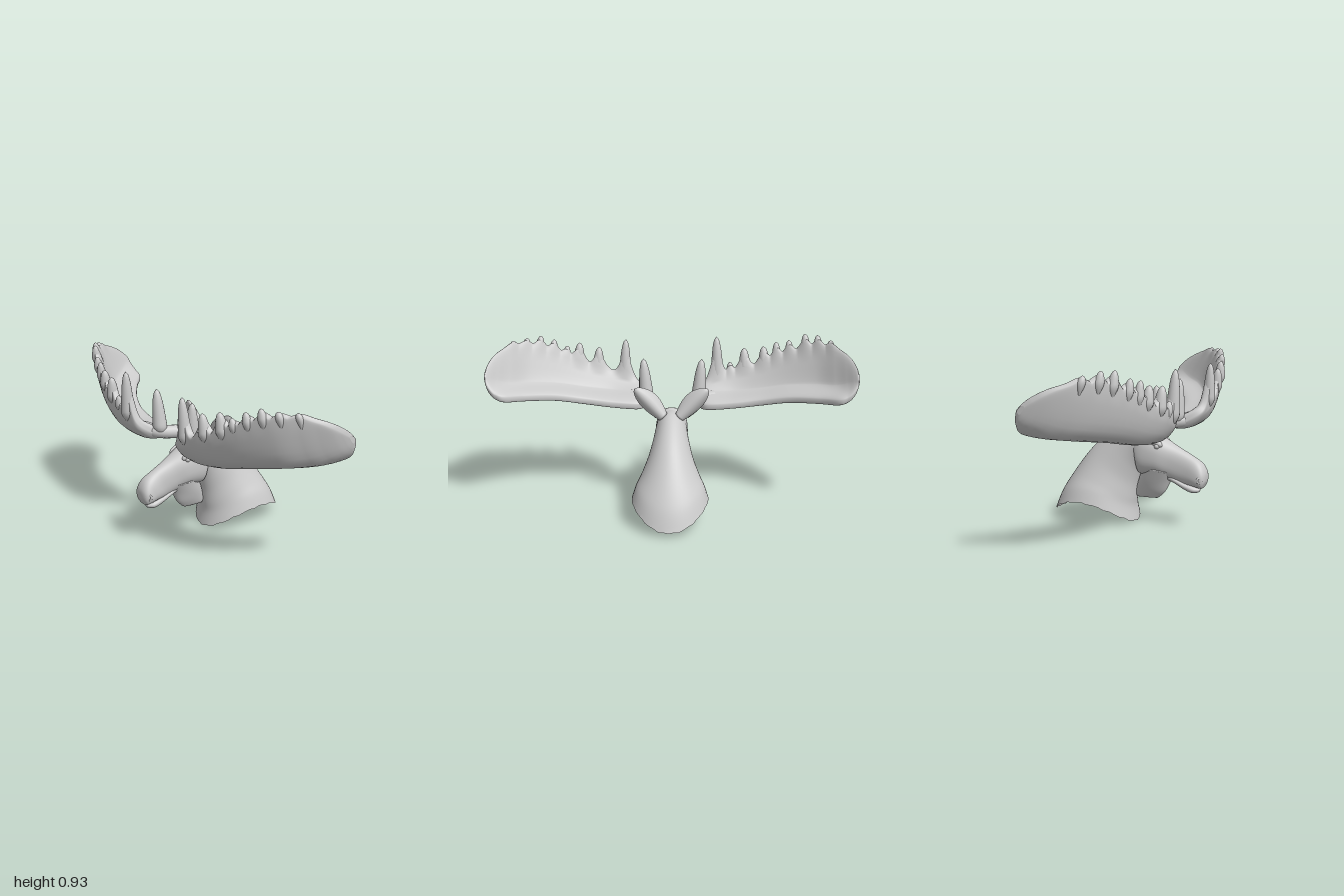
import * as THREE from 'three';

const V = (x, y, z) => new THREE.Vector3(x, y, z);
const { smoothstep, clamp } = THREE.MathUtils;
const material = new THREE.MeshStandardMaterial({ color: 0xcccccc });
const openMaterial = new THREE.MeshStandardMaterial({ color: 0xcccccc, side: THREE.DoubleSide });
const signedPow = (v, e) => Math.sign(v) * Math.abs(v) ** e;

// Smoothly interpolate a table of rows (Catmull-Rom on every column)
function rowAt(rows, t) {
  const f = t * (rows.length - 1);
  const i = Math.min(Math.floor(f), rows.length - 2);
  const u = f - i;
  const pick = k => rows[clamp(k, 0, rows.length - 1)];
  const [a, b, c, d] = [pick(i - 1), pick(i), pick(i + 1), pick(i + 2)];
  return b.map((_, k) => 0.5 * (2 * b[k] + (c[k] - a[k]) * u
    + (2 * a[k] - 5 * b[k] + 4 * c[k] - d[k]) * u * u
    + (3 * b[k] - a[k] - 3 * c[k] + d[k]) * u * u * u));
}

// Skin a list of closed rings, optionally leaving the start open
function skin(rings, capStart = true) {
  const n = rings[0].length;
  const points = rings.flat();
  const index = [];
  for (let j = 0; j < rings.length - 1; j++) {
    for (let i = 0; i < n; i++) {
      const a = j * n + i, b = j * n + (i + 1) % n;
      index.push(a, b, a + n, b, b + n, a + n);
    }
  }
  const cap = (j, flip) => {
    const centre = rings[j].reduce((s, p) => s.add(p), V(0, 0, 0)).divideScalar(n);
    const c = points.push(centre) - 1;
    for (let i = 0; i < n; i++) {
      const a = j * n + i, b = j * n + (i + 1) % n;
      index.push(c, flip ? b : a, flip ? a : b);
    }
  };
  if (capStart) cap(0, true);
  cap(rings.length - 1, false);
  // Turn the faces outwards when the enclosed volume comes out negative
  let volume = 0;
  for (let i = 0; i < index.length; i += 3) {
    volume += points[index[i]].dot(points[index[i + 1]].clone().cross(points[index[i + 2]]));
  }
  if (volume < 0) index.reverse();
  const g = new THREE.BufferGeometry().setFromPoints(points);
  g.setIndex(index);
  g.computeVertexNormals();
  return g;
}

function add(parent, name, geometry, mat = material) {
  const mesh = new THREE.Mesh(geometry, mat);
  mesh.name = name;
  parent.add(mesh);
  return mesh;
}

// Symmetric body; rows: zA, yA, zB, yB (two midline points), half width, side lift
function body(rows, steps, power, capStart = true, ragged = 0) {
  const rings = [];
  for (let j = 0; j <= steps; j++) {
    const [zA, yA, zB, yB, w, lift] = rowAt(rows, j / steps);
    const ring = [];
    for (let i = 0; i < 48; i++) {
      const a = i / 48 * Math.PI * 2;
      const c = signedPow(Math.cos(a), power), s = signedPow(Math.sin(a), power);
      const jag = j === 0 ? ragged * Math.sin(i * 2.3) : 0;
      ring.push(V(w * s, (yA + yB) / 2 + (yA - yB) / 2 * c + lift * s * s + jag,
        (zA + zB) / 2 + (zA - zB) / 2 * c));
    }
    rings.push(ring);
  }
  return skin(rings, capStart);
}

// Blunt prong that swells out of its base
function prong(base, tip, r) {
  const rings = [], length = base.distanceTo(tip);
  for (let j = 0; j <= 20; j++) {
    const t = j / 20;
    const p = base.clone().lerp(tip, t);
    const swell = smoothstep(t * length, -0.02, 0.07);
    const q = Math.max(r * swell * (1 - 0.45 * t) * Math.sqrt(1 - t ** 6), 0.001);
    rings.push(Array.from({ length: 16 }, (_, i) => {
      const a = i / 16 * Math.PI * 2;
      return V(p.x + q * Math.cos(a), p.y, p.z + q * Math.sin(a));
    }));
  }
  return skin(rings);
}

// Antler blade; rows: x, back edge y z, middle y z, top edge y z, half thickness
const bladeRows = [
  [0.15, 0.53, 0.19, 0.535, 0.22, 0.56, 0.26, 0.018],
  [0.20, 0.53, 0.145, 0.54, 0.27, 0.62, 0.345, 0.027],
  [0.35, 0.545, 0.13, 0.552, 0.29, 0.685, 0.358, 0.027],
  [0.50, 0.57, 0.11, 0.577, 0.27, 0.735, 0.337, 0.027],
  [0.65, 0.605, 0.05, 0.615, 0.225, 0.81, 0.30, 0.027],
  [0.80, 0.63, -0.05, 0.645, 0.14, 0.865, 0.23, 0.027],
  [0.89, 0.645, -0.125, 0.667, 0.05, 0.878, 0.15, 0.027],
  [0.94, 0.662, -0.13, 0.695, -0.005, 0.865, 0.085, 0.026],
  [0.972, 0.69, -0.12, 0.72, -0.045, 0.84, 0.03, 0.024],
  [0.99, 0.718, -0.105, 0.74, -0.07, 0.81, -0.02, 0.018],
  [0.999, 0.745, -0.09, 0.755, -0.08, 0.78, -0.06, 0.008],
];

// Height and depth of the blade's top edge at a given x
function edgeAt(x) {
  let best = bladeRows[0];
  for (let i = 0; i <= 200; i++) {
    const r = rowAt(bladeRows, i / 200);
    if (Math.abs(r[0] - x) < Math.abs(best[0] - x)) best = r;
  }
  return V(x, best[5], best[6]);
}

function blade(side, tines) {
  const rings = [], m = 20;
  const bumps = tines.map(([x, y, r]) => [x, 0.65 * (y - edgeAt(x).y), r]);
  for (let j = 0; j <= 240; j++) {
    const [x, by, bz, my, mz, ty, tz, h] = rowAt(bladeRows, j / 240);
    const curve = new THREE.SplineCurve([[bz, by], [mz, my], [tz, ty]].map(p => new THREE.Vector2(...p)));
    // The top edge rises into scallops under the tines
    const rise = Math.max(...bumps.map(([bx, height, w]) => height * Math.exp(-(((x - bx) / w) ** 2))));
    const ring = [];
    for (let i = 0; i < 2 * m; i++) {
      const a = i / m * Math.PI, sin = Math.sin(a);
      const s = (1 - Math.cos(a)) / 2;
      const p = curve.getPoint(s), d = curve.getTangent(s);
      // The inner face is filled out so that the hollow stays shallow
      const k = h * (signedPow(sin, 0.5) + Math.max(sin, 0) ** 2);
      ring.push(V(side * x, p.y + d.x * k + rise * smoothstep(s, 0.84, 1), p.x - d.y * k));
    }
    rings.push(ring);
  }
  return skin(rings);
}

function antler(side, tines) {
  const g = new THREE.Group();
  g.name = side > 0 ? 'leftAntler' : 'rightAntler';
  add(g, 'blade', blade(side, tines));
  // Stem from the skull to the blade
  const stem = new THREE.CatmullRomCurve3([V(0.065, 0.52, 0.06), V(0.11, 0.54, 0.11),
    V(0.14, 0.548, 0.19), V(0.175, 0.555, 0.24), V(0.24, 0.56, 0.26)].map(p => p.setX(p.x * side)));
  add(g, 'stem', new THREE.TubeGeometry(stem, 24, 0.037, 16));
  add(g, 'browTine', prong(V(side * 0.145, 0.52, 0.215), V(side * 0.165, 0.79, 0.225), 0.046));
  for (const [x, y, r] of tines) {
    const e = edgeAt(x);
    add(g, 'tine', prong(V(side * (x + 0.01), e.y - 0.05, e.z - 0.008), V(side * x, y, e.z + 0.006), r));
  }
  return g;
}

// Cupped, blunt leaf-shaped ear
function ear(side) {
  const rings = [];
  for (let j = 0; j <= 24; j++) {
    const t = j / 24;
    const round = Math.sqrt(1 - t ** 7);
    const w = (0.028 + 0.024 * Math.sin(Math.PI * t)) * round + 0.001;
    const c = V(0.045 + 0.155 * t, 0.52 + 0.16 * t, -0.003);
    rings.push(Array.from({ length: 24 }, (_, i) => {
      const a = i / 24 * Math.PI * 2, u = Math.cos(a), s = Math.sin(a);
      const cup = 0.03 * u * u * Math.sin(Math.PI * t);
      return V(side * (c.x - 0.74 * w * u), c.y + 0.67 * w * u,
        c.z + cup + s * (0.03 - 0.012 * t) * round);
    }));
  }
  return skin(rings);
}

export function createModel() {
  const model = new THREE.Group();
  model.name = 'mountedDeerHead';

  // Hollow neck with a ragged, arched lower rim
  add(model, 'neck', body([
    [-0.45, 0.025, 0.045, 0.003, 0.208, 0.108],
    [-0.405, 0.14, 0.033, 0.08, 0.185, 0.08],
    [-0.325, 0.27, 0.037, 0.14, 0.155, 0.04],
    [-0.225, 0.40, 0.045, 0.21, 0.122, 0.01],
    [-0.12, 0.49, 0.06, 0.27, 0.1, 0],
    [-0.03, 0.54, 0.075, 0.31, 0.088, 0],
    [0.05, 0.545, 0.1, 0.36, 0.082, 0],
  ], 36, 1, false, 0.004), openMaterial);

  const head = new THREE.Group();
  head.name = 'head';
  model.add(head);
  // Skull and muzzle
  add(head, 'skull', body([
    [0.03, 0.54, 0.07, 0.33, 0.074, 0],
    [0.065, 0.55, 0.065, 0.285, 0.086, 0],
    [0.13, 0.53, 0.09, 0.275, 0.09, 0],
    [0.20, 0.487, 0.17, 0.28, 0.08, 0],
    [0.28, 0.443, 0.23, 0.262, 0.058, 0],
    [0.36, 0.402, 0.29, 0.245, 0.048, 0],
    [0.42, 0.365, 0.35, 0.237, 0.055, 0],
    [0.447, 0.32, 0.395, 0.23, 0.058, 0],
    [0.450, 0.275, 0.425, 0.225, 0.043, 0],
    [0.442, 0.25, 0.435, 0.235, 0.012, 0],
  ], 54, 0.85));
  // Lower jaw
  add(head, 'lowerJaw', body([
    [0.22, 0.30, 0.22, 0.255, 0.03, 0],
    [0.28, 0.28, 0.27, 0.24, 0.042, 0],
    [0.345, 0.25, 0.33, 0.208, 0.038, 0],
    [0.39, 0.232, 0.375, 0.194, 0.033, 0],
    [0.412, 0.22, 0.408, 0.202, 0.014, 0],
  ], 24, 1));
  // Hanging throat flap
  add(head, 'throat', body([
    [0.085, 0.33, 0.27, 0.30, 0.07, 0],
    [0.058, 0.25, 0.245, 0.25, 0.052, 0],
    [0.043, 0.20, 0.215, 0.19, 0.034, 0],
    [0.038, 0.155, 0.185, 0.157, 0.017, 0],
    [0.045, 0.14, 0.165, 0.143, 0.007, 0],
  ], 24, 1));

  for (const side of [1, -1]) {
    // Eye under a low brow, and the nostril rim
    add(head, 'eye', new THREE.SphereGeometry(0.015, 16, 12)).position.set(side * 0.068, 0.447, 0.187);
    const brow = add(head, 'brow', new THREE.SphereGeometry(1, 20, 14));
    brow.scale.set(0.02, 0.022, 0.055);
    brow.position.set(side * 0.06, 0.47, 0.165);
    brow.rotation.x = 0.4;
    const nostril = add(head, 'nostril', new THREE.TorusGeometry(0.014, 0.006, 10, 20));
    nostril.position.set(side * 0.05, 0.278, 0.427);
    nostril.rotation.y = side * 0.95;
    add(head, 'ear', ear(side));
  }

  // Antlers: tine x, tip height, base radius
  model.add(antler(1, [[0.275, 0.87, 0.04], [0.43, 0.825, 0.04], [0.54, 0.855, 0.04],
    [0.61, 0.84, 0.032], [0.68, 0.882, 0.033], [0.75, 0.91, 0.033], [0.82, 0.905, 0.032],
    [0.885, 0.903, 0.03]]));
  model.add(antler(-1, [[0.25, 0.89, 0.042], [0.33, 0.74, 0.032], [0.41, 0.825, 0.042],
    [0.52, 0.84, 0.04], [0.59, 0.87, 0.034], [0.66, 0.885, 0.033], [0.745, 0.93, 0.034],
    [0.81, 0.932, 0.032], [0.875, 0.915, 0.03]]));
  return model;
}
